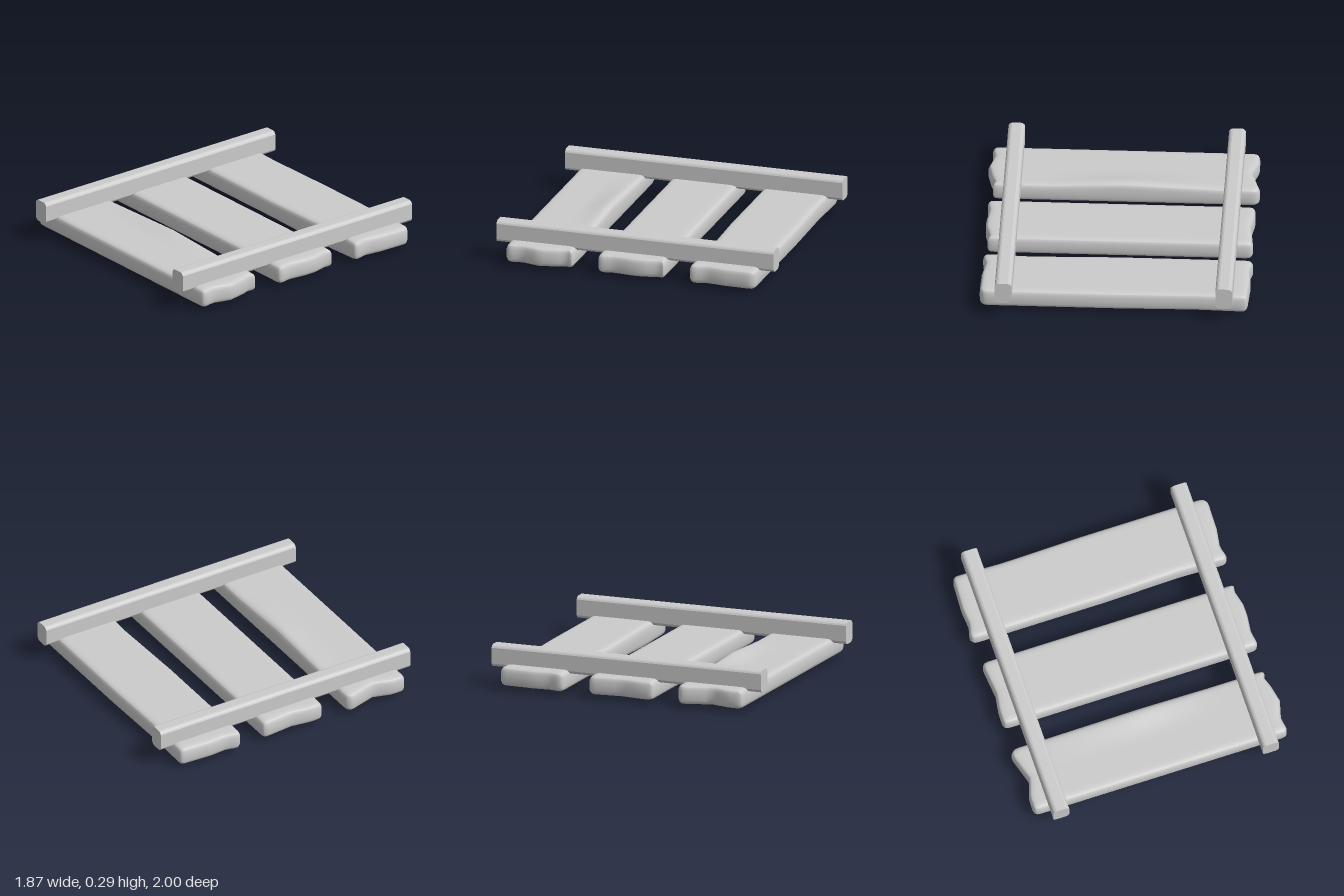
import * as THREE from 'three';
import { mergeVertices } from 'three/addons/utils/BufferGeometryUtils.js';

const clamp = THREE.MathUtils.clamp;
const material = new THREE.MeshStandardMaterial({ color: 0xcccccc });

// Piecewise-linear lookup through [position, value] pairs
function along(points, t) {
  if (t <= points[0][0]) return points[0][1];
  for (let i = 1; i < points.length; i++) {
    const [a, va] = points[i - 1], [b, vb] = points[i];
    if (t <= b) return va + (vb - va) * (t - a) / (b - a);
  }
  return points[points.length - 1][1];
}
const tent = (t, a, peak, b) => along([[a, 0], [peak, 1], [b, 0]], t);

const HALF = new THREE.Vector3(0.92, 0.0675, 0.242);
const RADIUS = 0.04;

// Rounded board whose ends follow uneven profiles; warp(p) adds dents and bumps
function plankGeometry(leftEnd, rightEnd, warp) {
  let geo = new THREE.BoxGeometry(2, 2, 2, 28, 6, 18);
  geo.deleteAttribute('normal');
  geo.deleteAttribute('uv');
  geo = mergeVertices(geo);
  const pos = geo.attributes.position;
  const p = new THREE.Vector3(), core = new THREE.Vector3();
  for (let i = 0; i < pos.count; i++) {
    p.fromBufferAttribute(pos, i);
    // crowd vertices towards the edges, then round them
    for (const k of ['x', 'y', 'z']) {
      p[k] = Math.sin(p[k] * Math.PI / 2) * HALF[k];
      core[k] = clamp(p[k], RADIUS - HALF[k], HALF[k] - RADIUS);
    }
    p.sub(core).setLength(RADIUS).add(core);
    // uneven ends
    const end = along(p.x > 0 ? leftEnd : rightEnd, p.z);
    p.x *= end / HALF.x;
    if (warp) warp(p);
    pos.setXYZ(i, p.x, p.y, p.z);
  }
  geo.computeVertexNormals();
  return geo;
}

// Per plank: centre z and the reach of each end across the width
const planks = [
  {
    name: 'backPlank', z: -0.66,
    left: [[-0.24, 0.91], [-0.2, 0.925], [0, 0.92], [0.13, 0.9], [0.2, 0.92]],
    right: [[-0.2, 0.915], [0, 0.925], [0.13, 0.915], [0.2, 0.935], [0.24, 0.93]],
    warp(p) {
      // sagging front edge, slightly hollow back edge
      const sag = tent(p.x, 0, 0.6, 0.92);
      if (p.y < 0) p.y -= 0.03 * sag * tent(p.z, 0.04, 0.2, 0.3);
      if (p.z > 0) p.z -= 0.018 * sag * clamp(p.z / 0.2, 0, 1);
      else p.z += 0.01 * tent(p.x, -0.9, -0.55, 0) * clamp(-p.z / 0.2, 0, 1);
    },
  },
  {
    name: 'middlePlank', z: 0,
    left: [[-0.23, 0.91], [-0.2, 0.89], [-0.08, 0.92], [0, 0.92], [0.13, 0.905], [0.2, 0.92]],
    right: [[-0.2, 0.92], [0, 0.9], [0.13, 0.92], [0.2, 0.92]],
  },
  {
    name: 'frontPlank', z: 0.662,
    left: [[-0.23, 0.905], [-0.19, 0.885], [-0.12, 0.91], [0, 0.935], [0.13, 0.9], [0.2, 0.915]],
    right: [[-0.24, 0.92], [-0.2, 0.94], [0, 0.88], [0.13, 0.92], [0.24, 0.92]],
    warp(p) {
      // raised ridge near the back edge
      if (p.y > 0) p.y += 0.03 * tent(p.x, -0.7, 0, 0.5) * tent(p.z, -0.3, -0.2, -0.06);
    },
  },
];

// Long bar with softened corners
function railGeometry() {
  const w = 0.0575, h = 0.0775, cx = 0.026, cy = 0.022;
  const shape = new THREE.Shape();
  shape.moveTo(w, cy - h);
  shape.lineTo(w, h - cy);
  shape.quadraticCurveTo(w - 0.007, h - 0.004, w - cx, h);
  shape.lineTo(cx - w, h);
  shape.quadraticCurveTo(0.007 - w, h - 0.004, -w, h - cy);
  shape.lineTo(-w, cy - h);
  shape.quadraticCurveTo(0.007 - w, 0.004 - h, cx - w, -h);
  shape.lineTo(w - cx, -h);
  shape.quadraticCurveTo(w - 0.007, 0.004 - h, w, cy - h);
  return new THREE.ExtrudeGeometry(shape, { depth: 2, bevelEnabled: false, curveSegments: 3 })
    .translate(0, 0, -1);
}

export function createModel() {
  const group = new THREE.Group();
  group.name = 'plankPanel';

  for (const { name, z, left, right, warp } of planks) {
    const plank = new THREE.Mesh(plankGeometry(left, right, warp), material);
    plank.name = name;
    plank.position.set(0, 0.0975, z);
    group.add(plank);
  }

  const railGeo = railGeometry();
  for (const side of [-1, 1]) {
    const rail = new THREE.Mesh(railGeo, material);
    rail.name = side > 0 ? 'leftRail' : 'rightRail';
    rail.position.set(side * 0.757, 0.2125, 0);
    group.add(rail);
  }
  return group;
}
